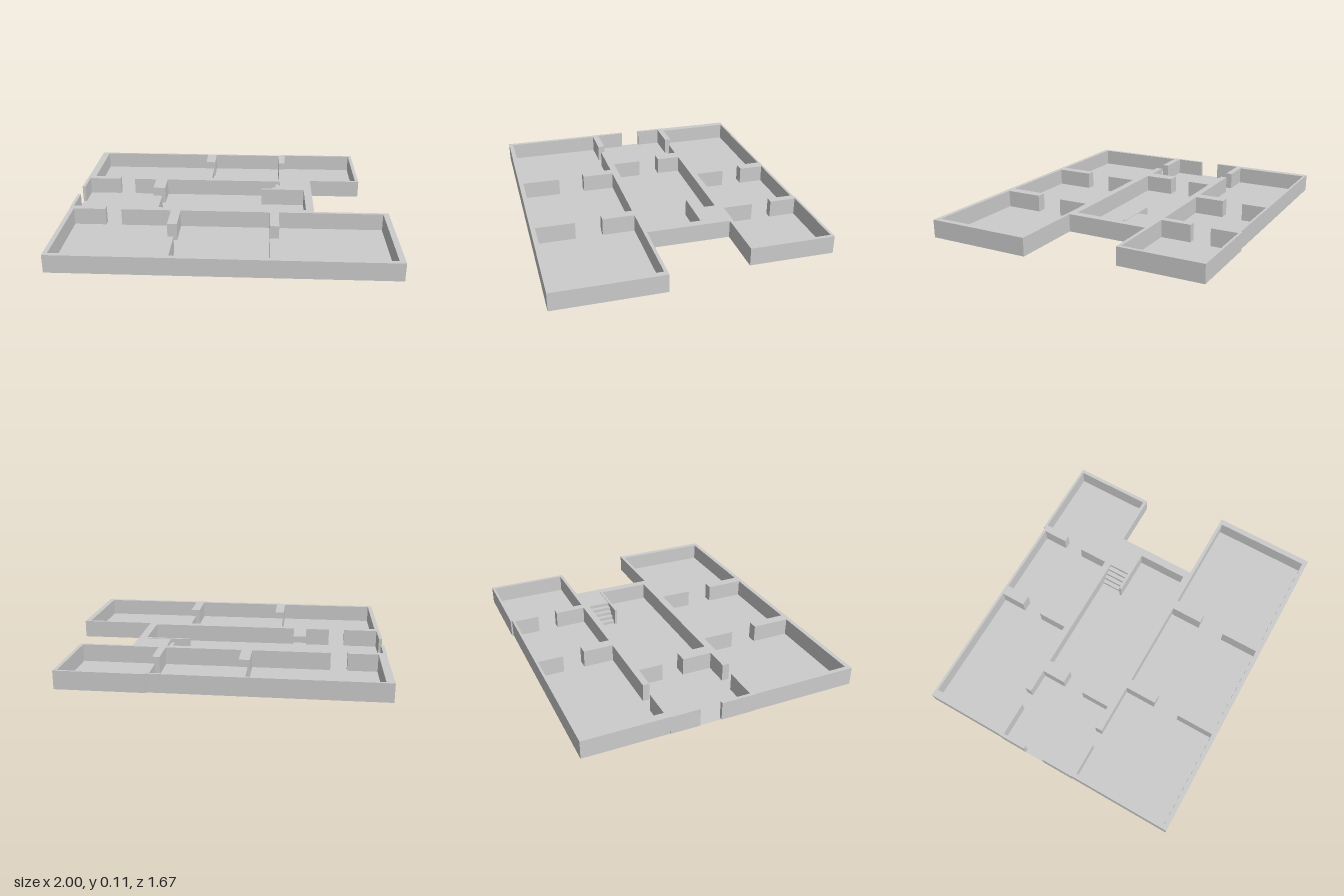
import * as THREE from 'three';

const H = 0.11; // wall height
const material = new THREE.MeshStandardMaterial({ color: 0xcccccc, side: THREE.DoubleSide, flatShading: true });

// Plan points are [x, z]; shapes are drawn in (x, -z) and laid flat
const planShape = (points) => new THREE.Shape(points.map(([x, z]) => new THREE.Vector2(x, -z)));

// Three-sided detour around a wall stub: in from the base wall, across the tip, back out
const stub = (xa, xb, base, tip) => [[xa, base], [xa, tip], [xb, tip], [xb, base]];

function addMesh(parent, name, geometry) {
  const mesh = new THREE.Mesh(geometry, material);
  mesh.name = name;
  parent.add(mesh);
  return mesh;
}

// Extruded walls with the underside left open, so they are hollow from below
function hollowWalls(points) {
  const geo = new THREE.ExtrudeGeometry(planShape(points), { depth: H, bevelEnabled: false });
  const skip = geo.groups[0].count / 2;
  const open = new THREE.BufferGeometry();
  for (const key of ['position', 'normal', 'uv']) {
    const { array, itemSize } = geo.attributes[key];
    open.setAttribute(key, new THREE.BufferAttribute(array.slice(skip * itemSize), itemSize));
  }
  return open.rotateX(-Math.PI / 2);
}

function addBox(parent, name, x0, x1, z0, z1, top) {
  const mesh = addMesh(parent, name, new THREE.BoxGeometry(x1 - x0, top, z1 - z0));
  mesh.position.set((x0 + x1) / 2, top / 2, (z0 + z1) / 2);
}

export function createModel() {
  const model = new THREE.Group();
  model.name = 'floorPlan';

  // Inner face of the walls, from the back side of the entrance round to its front side
  const backRooms = [
    [-0.77, -0.305], [-0.77, -0.345], [-0.95, -0.345], [-0.95, -0.815],
    ...stub(-0.2, -0.135, -0.815, -0.66),
    [0.33, -0.815], [0.33, -0.66], [0.375, -0.66], [0.375, -0.825],
    [0.85, -0.825], [0.85, -0.345],
    ...stub(0.375, 0.33, -0.348, -0.535),
    ...stub(-0.135, -0.2, -0.345, -0.53),
    [-0.67, -0.345], [-0.67, -0.305],
  ];
  const hall = [
    ...stub(-0.52, -0.44, -0.305, -0.155),
    [0.49, -0.305], [0.49, 0.16],
    ...stub(-0.44, -0.52, 0.163, -0.02),
  ];
  const frontRooms = [
    [-0.67, 0.163], [-0.67, 0.207],
    ...stub(-0.355, -0.295, 0.207, 0.405),
    ...stub(0.26, 0.32, 0.207, 0.405),
    [0.965, 0.207], [0.965, 0.807],
    ...stub(0.32, 0.26, 0.807, 0.57),
    ...stub(-0.295, -0.355, 0.807, 0.57),
    [-0.97, 0.807], [-0.97, 0.207], [-0.77, 0.207], [-0.77, 0.163],
  ];
  const inner = [
    [-0.98, -0.15], [-0.98, -0.305], ...backRooms, ...hall, ...frontRooms,
    [-0.98, 0.163], [-0.98, -0.02],
  ];

  // Outer face, from the front side of the entrance round to its back side
  const outer = [
    [-1, -0.02], [-1, 0.187], [-0.997, 0.187], [-0.997, 0.835], [1, 0.835], [1, 0.187],
    [0.54, 0.187], [0.54, -0.325], [0.872, -0.325], [0.872, -0.84], [0.35, -0.84],
    [0.35, -0.83], [-0.997, -0.83], [-0.997, -0.325], [-1, -0.325], [-1, -0.15],
  ];
  addMesh(model, 'walls', hollowWalls([...outer, ...inner]));

  // Floor fills the rooms and the entrance
  const floorPlan = [[-1, -0.15], ...inner, [-1, -0.02]];
  const floor = addMesh(model, 'floor', new THREE.ShapeGeometry(planShape(floorPlan)).rotateX(-Math.PI / 2));
  floor.position.y = 0.003;

  // Staircase climbing to a landing level with the wall tops, screened by a thin wall
  const stairs = new THREE.Group();
  stairs.name = 'staircase';
  model.add(stairs);
  for (let i = 0; i < 4; i++) {
    const x = 0.23 + i * 0.025;
    addBox(stairs, 'step', x, x + 0.025, -0.305, -0.17, (H * (i + 1)) / 5);
  }
  addBox(stairs, 'landing', 0.33, 0.49, -0.305, -0.17, H);
  addBox(stairs, 'stairWall', 0.21, 0.49, -0.17, -0.155, H + 0.003);

  return model;
}
